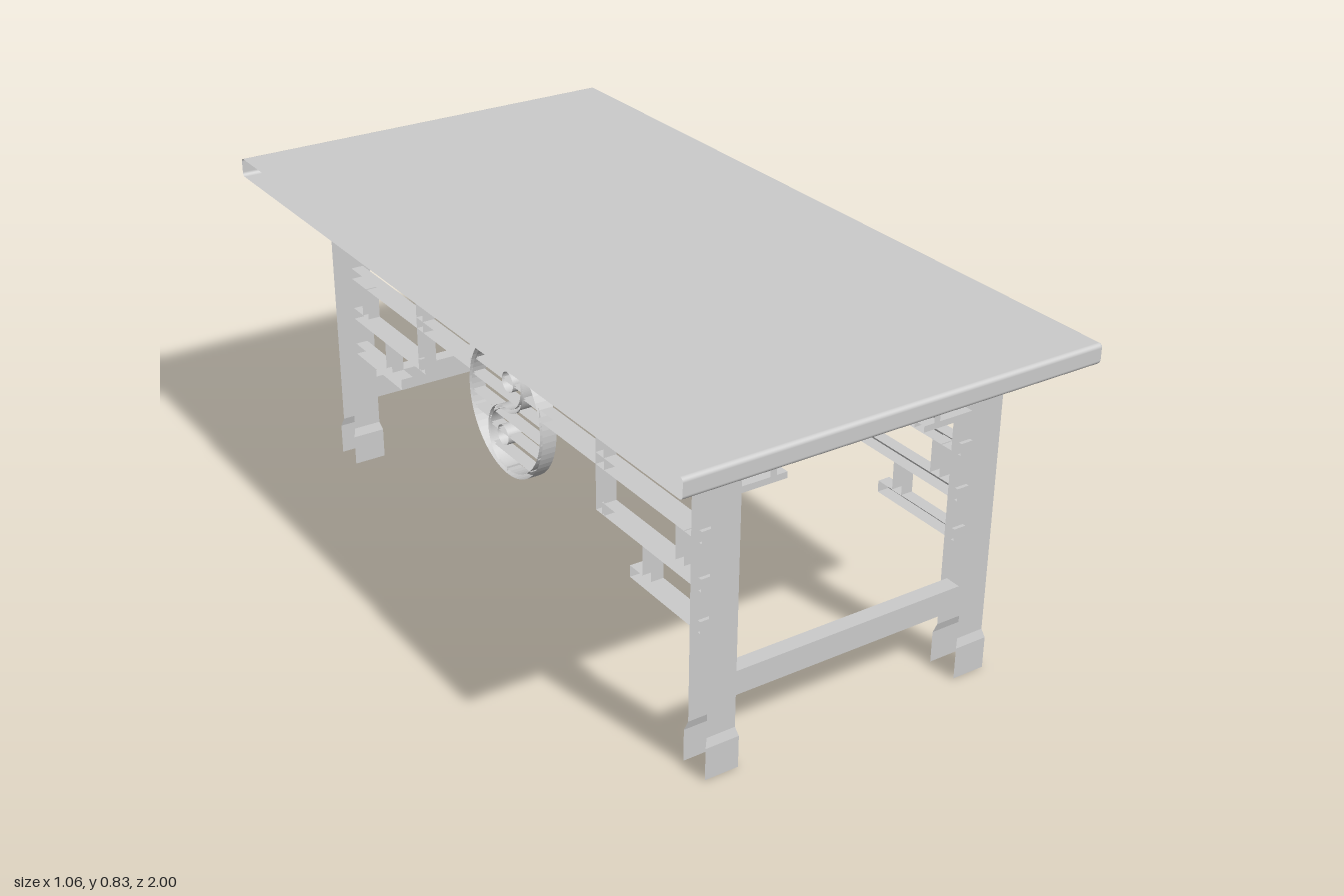
import * as THREE from 'three';
import { RoundedBoxGeometry } from 'three/addons/geometries/RoundedBoxGeometry.js';

const MID_X = 0.008, MID_Z = 0.013; // centre of the leg frame
const LEG_X = 0.341, LEG_Z = 0.82;  // leg offsets from that centre
const material = new THREE.MeshStandardMaterial({ color: 0xcccccc, side: THREE.DoubleSide });
const flatMaterial = material.clone();
flatMaterial.flatShading = true;

// Leaves the surface open towards -x: drops faces whose normal points that way
function openBack(geometry, limit = -0.9) {
  const g = geometry.index ? geometry.toNonIndexed() : geometry;
  const p = g.attributes.position, n = g.attributes.normal;
  const pos = [], nor = [], tri = new THREE.Triangle(), face = new THREE.Vector3();
  for (let i = 0; i < p.count; i += 3) {
    tri.setFromAttributeAndIndices(p, i, i + 1, i + 2);
    tri.getNormal(face);
    if (face.x < limit || tri.getArea() < 1e-10) continue;
    for (let k = i; k < i + 3; k++) {
      pos.push(p.getX(k), p.getY(k), p.getZ(k));
      nor.push(n.getX(k), n.getY(k), n.getZ(k));
    }
  }
  const out = new THREE.BufferGeometry();
  out.setAttribute('position', new THREE.Float32BufferAttribute(pos, 3));
  out.setAttribute('normal', new THREE.Float32BufferAttribute(nor, 3));
  return out;
}

function add(parent, name, geometry, mat = material) {
  const mesh = new THREE.Mesh(geometry, mat);
  mesh.name = name;
  parent.add(mesh);
  return mesh;
}

// Bar given by its extents on each axis
function bar(parent, name, [x0, x1], [y0, y1], [z0, z1]) {
  const g = new THREE.BoxGeometry(Math.abs(x1 - x0), y1 - y0, Math.abs(z1 - z0));
  g.translate((x0 + x1) / 2, (y0 + y1) / 2, (z0 + z1) / 2);
  return add(parent, name, openBack(g));
}

// Square leg with a thicker foot and a stepped capital, open underneath
function makeLeg() {
  const profile = [
    [0.0425, 0], [0.0425, 0.08], [0.036, 0.102], [0.036, 0.75], [0.044, 0.75], [0.044, 0.757],
    [0.041, 0.76], [0.041, 0.772], [0.044, 0.775], [0.044, 0.785],
  ].map(([h, y]) => new THREE.Vector2(h * Math.SQRT2, y));
  const g = new THREE.LatheGeometry(profile, 4);
  g.rotateY(Math.PI / 4);
  g.scale(1, 1, 0.94);
  const leg = new THREE.Group();
  leg.name = 'leg';
  add(leg, 'legPost', openBack(g, -0.7), flatMaterial);
  return leg;
}

// Round lattice medallion: ring, S-shaped divider, two discs and slats
function makeMedallion() {
  const group = new THREE.Group();
  group.name = 'medallion';
  const R = 0.168, inner = 0.156, r = inner / 2, depth = 0.036;
  const solid = (name, shape, d = depth) => {
    const g = new THREE.ExtrudeGeometry(shape, { depth: d, bevelEnabled: false, curveSegments: 32 });
    g.translate(0, 0, -d / 2);
    g.rotateY(Math.PI / 2);
    add(group, name, openBack(g, -0.99));
  };
  const circle = (x, y, radius) => new THREE.Shape().absarc(x, y, radius, 0, Math.PI * 2);

  const ring = circle(0, 0, R);
  ring.holes.push(new THREE.Path().absarc(0, 0, inner, 0, Math.PI * 2, true));
  solid('ring', ring);

  const t = 0.005, q = Math.PI / 2;
  const divider = new THREE.Shape();
  divider.absarc(0, r, r + t, q, 3 * q, false);
  divider.absarc(0, -r, r - t, q, -q, true);
  divider.absarc(0, -r, r + t, -q, q, false);
  divider.absarc(0, r, r - t, 3 * q, q, true);
  solid('divider', divider);

  solid('upperDisc', circle(-0.014, 0.075, 0.025));
  solid('lowerDisc', circle(0.014, -0.073, 0.025));

  // Slats run from the divider out to the ring
  const dividerAt = (y) => -Math.sign(y) * Math.sqrt(Math.max(0, r * r - (Math.abs(y) - r) ** 2));
  const slat = (y, side) => {
    const a = dividerAt(y), b = side * Math.sqrt(inner * inner - y * y);
    const x0 = Math.min(a, b), x1 = Math.max(a, b), h = 0.003;
    solid('slat', new THREE.Shape([
      new THREE.Vector2(x0, y - h), new THREE.Vector2(x1, y - h),
      new THREE.Vector2(x1, y + h), new THREE.Vector2(x0, y + h),
    ]), 0.03);
  };
  [0.123, 0.075, 0.03, -0.016, -0.054].forEach((y) => slat(y, 1));
  [0.06, 0.02, -0.026, -0.067, -0.115].forEach((y) => slat(y, -1));
  return group;
}

// Long side: two rails, stepped brackets at both ends, medallion in the middle
function makeSideLattice(side) {
  const group = new THREE.Group();
  group.name = side > 0 ? 'leftLattice' : 'rightLattice';
  const X = [-0.016, 0.016], end = 0.795;
  bar(group, 'upperRail', X, [0.678, 0.712], [-end, end]);
  for (const s of [1, -1]) {
    const z = (a, b) => [s * a, s * b];
    bar(group, 'middleRail', X, [0.533, 0.562], z(0.157, end));
    bar(group, 'hangingPost', X, [0.42, 0.785], z(0.395, 0.428));
    bar(group, 'stepBar', X, [0.42, 0.45], z(0.42, end));
    bar(group, 'spacer', X, [0.45, 0.535], z(0.702, 0.733));
    bar(group, 'stub', X, [0.347, 0.42], z(0.58, 0.612));
    bar(group, 'lowerBar', X, [0.319, 0.348], z(0.531, end));
  }
  const c = side > 0 ? 0.023 : -0.008;
  bar(group, 'centrePost', X, [0.66, 0.785], [c - 0.016, c + 0.016]);
  const medallion = makeMedallion();
  medallion.position.set(0, 0.498, 0.007);
  group.add(medallion);
  return group;
}

// Short end: stretcher and a pair of stepped brackets under the top
function makeEndFrame(name) {
  const group = new THREE.Group();
  group.name = name;
  const Z = [-0.015, 0.015], end = 0.31;
  bar(group, 'stretcher', [-end, end], [0.17, 0.23], [-0.02, 0.02]);
  for (const s of [1, -1]) {
    const x = (a, b) => [s * a, s * b];
    bar(group, 'bracketBar', x(0.1, end), [0.702, 0.718], Z);
    bar(group, 'innerHanger', x(0.1, 0.116), [0.702, 0.785], Z);
    bar(group, 'outerHanger', x(0.262, 0.277), [0.718, 0.785], Z);
    bar(group, 'stub', x(0.205, 0.221), [0.665, 0.702], Z);
    bar(group, 'lowerBar', x(0.178, end), [0.65, 0.665], Z);
  }
  return group;
}

export function createModel() {
  const model = new THREE.Group();
  model.name = 'table';

  // Slab top with softened edges, square and open along -x
  const top = openBack(new RoundedBoxGeometry(1.06, 0.048, 2, 3, 0.01), -0.1);
  const p = top.attributes.position;
  for (let i = 0; i < p.count; i++) if (p.getX(i) < -0.51) p.setX(i, -0.53);
  top.translate(0, 0.805, 0);
  add(model, 'tableTop', top);

  for (const sz of [1, -1]) {
    for (const sx of [1, -1]) {
      const leg = makeLeg();
      leg.position.set(MID_X + sx * LEG_X, 0, MID_Z + sz * LEG_Z);
      model.add(leg);
    }
    const frame = makeEndFrame(sz > 0 ? 'frontFrame' : 'backFrame');
    frame.position.set(MID_X, 0, MID_Z + sz * LEG_Z);
    model.add(frame);
  }
  for (const sx of [1, -1]) {
    const lattice = makeSideLattice(sx);
    lattice.position.set(MID_X + sx * LEG_X, 0, MID_Z);
    model.add(lattice);
  }
  return model;
}
